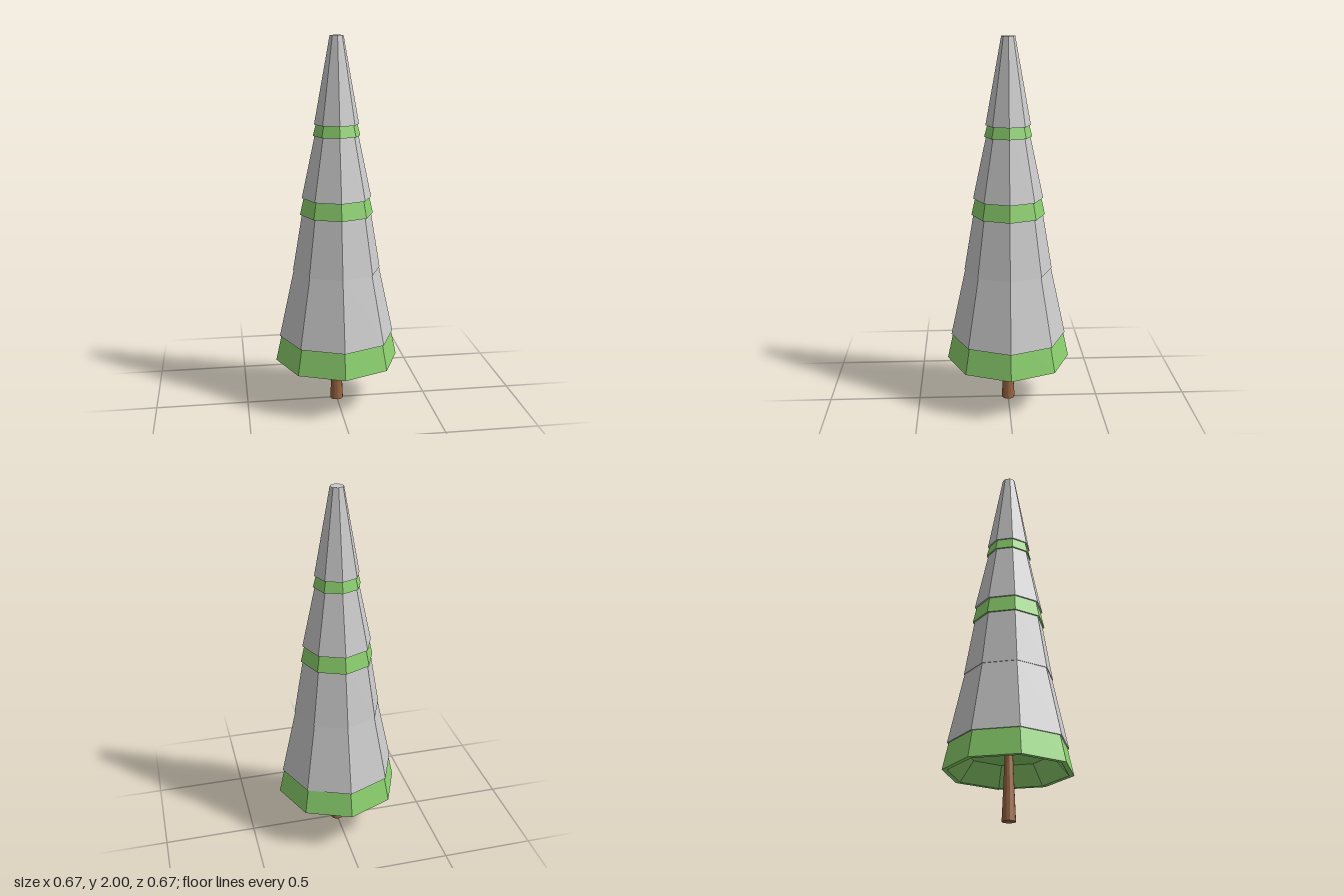
import * as THREE from 'three';

const SIDES = 8;
const snowMat = new THREE.MeshStandardMaterial({ color: 0xcccccc, flatShading: true });
const leafMat = new THREE.MeshStandardMaterial({ color: 0x8bd06d, flatShading: true });
const barkMat = new THREE.MeshStandardMaterial({ color: 0x996640, flatShading: true });

// Eight-sided body turned from a bottom-to-top [radius, y] profile
function turned(name, profile, material, sides = SIDES) {
  const points = profile.map(([r, y]) => new THREE.Vector2(r, y));
  const mesh = new THREE.Mesh(new THREE.LatheGeometry(points, sides), material);
  mesh.name = name;
  return mesh;
}

// Foliage skirt: outer slope, narrow rim and a hollowed underside
function foliage(name, bottom, rBottom, top, rTop, depth) {
  return turned(name, [
    [0, bottom + depth], [rBottom * 0.66, bottom + depth],
    [rBottom * 0.92, bottom], [rBottom, bottom],
    [rTop, top], [0, top],
  ], leafMat);
}

// Snow cap: closed tapered frustum
function snow(name, bottom, rBottom, top, rTop) {
  return turned(name, [[0, bottom], [rBottom, bottom], [rTop, top], [0, top]], snowMat);
}

export function createModel() {
  const tree = new THREE.Group();
  tree.name = 'snowyPine';

  // Trunk
  tree.add(turned('trunk', [[0, 0], [0.036, 0], [0.025, 0.245], [0.021, 0.36], [0, 0.36]], barkMat, 12));

  // Foliage tiers: bottom y, radius, top y, radius, hollow depth
  const leaves = [
    [0.245, 0.337, 0.5, 0.282, 0.1],
    [0.64, 0.2576, 0.9, 0.2, 0.08],
    [1.065, 0.197, 1.3, 0.145, 0.07],
    [1.485, 0.126, 1.7, 0.07, 0.05],
  ];
  // Snow caps: bottom y, radius, top y, radius
  const caps = [
    [0.385, 0.315, 0.8, 0.2258],
    [0.76, 0.238, 1.12, 0.178],
    [1.155, 0.187, 1.53, 0.107],
    [1.545, 0.119, 2, 0.036],
  ];
  leaves.forEach((args, i) => tree.add(foliage(`foliageTier${i + 1}`, ...args)));
  caps.forEach((args, i) => tree.add(snow(`snowCap${i + 1}`, ...args)));

  // The second tier sits slightly off centre, so its visible band is uneven
  tree.getObjectByName('foliageTier2').position.set(0.0007, 0, -0.0007);
  return tree;
}
